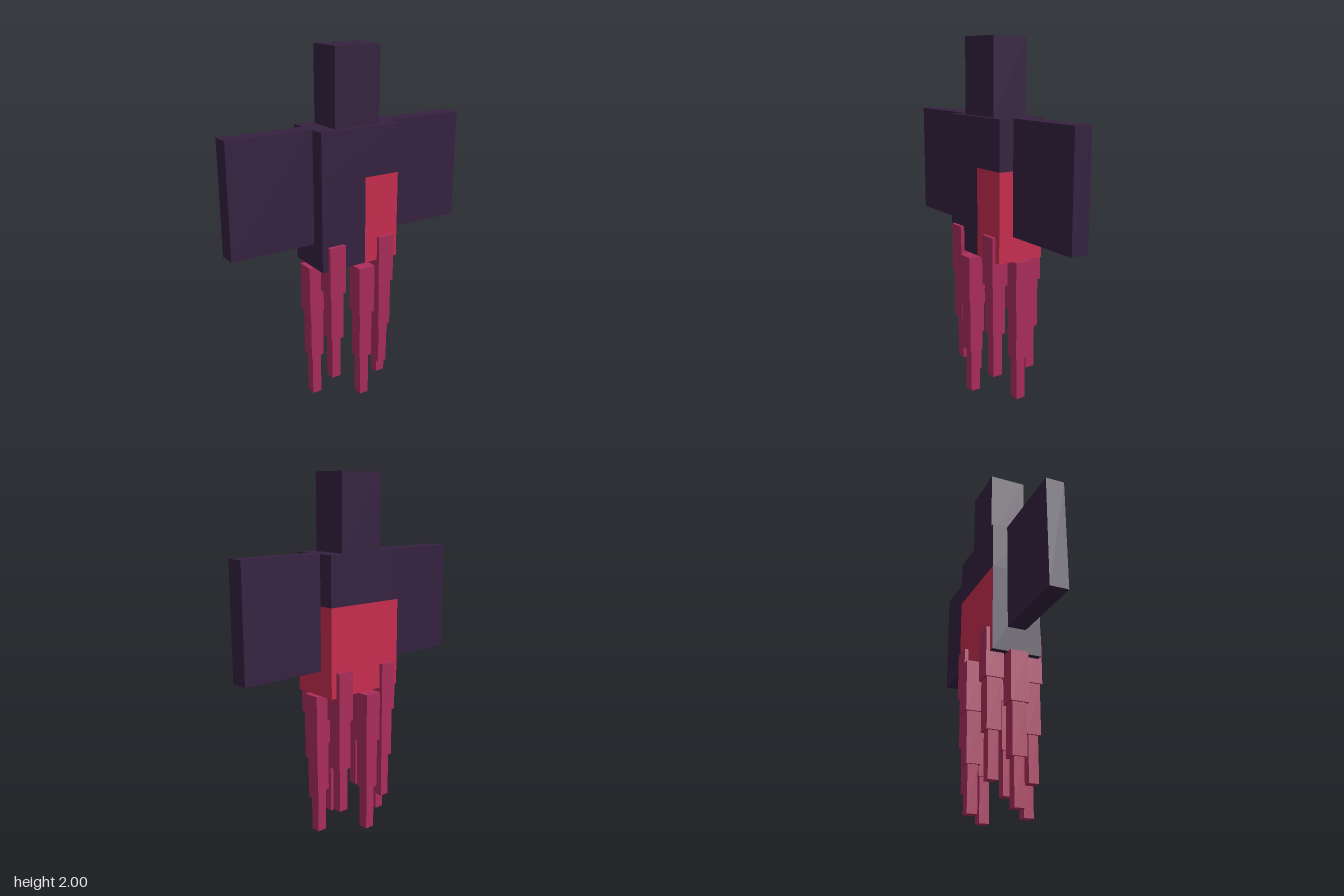
import * as THREE from 'three';

const material = (name, color) => {
  const m = new THREE.MeshStandardMaterial({ color });
  m.name = name;
  return m;
};

export function createModel() {
  const model = new THREE.Group();
  model.name = 'squid';
  const dark = material('dark purple', 0x352140);
  const red = material('crimson', 0xc92d50);
  const pink = material('magenta', 0xab2d5a);

  // Box spanning x0..x1 and y0..y1, with its depth centred on z
  const box = (name, mat, x0, x1, y0, y1, depth, z = 0, parent = model) => {
    const mesh = new THREE.Mesh(new THREE.BoxGeometry(x1 - x0, y1 - y0, depth), mat);
    mesh.position.set((x0 + x1) / 2, (y0 + y1) / 2, z);
    mesh.name = name;
    parent.add(mesh);
    return mesh;
  };

  // Head and upper body
  box('head', dark, -0.14, 0.14, 1.58, 2, 0.21);
  box('upperBody', dark, -0.246, 0.246, 1.305, 1.58, 0.28);

  // Lower body: red on the back, the left side and part of the front
  // (material order: +x, -x, +y, -y, +z, -z)
  box('lowerBodyRight', [dark, dark, dark, dark, dark, red], -0.246, 0.03, 0.81, 1.305, 0.28);
  box('lowerBodyLeft', [red, dark, dark, dark, red, red], 0.03, 0.246, 0.81, 1.305, 0.28);

  // Flat side fins
  box('leftFin', dark, 0.246, 0.735, 0.95, 1.58, 0.105);
  box('rightFin', dark, -0.735, -0.246, 0.95, 1.58, 0.105);

  // Tentacles: three stacked segments, each narrower than the one above
  const tentacle = (x, z, drop) => {
    const group = new THREE.Group();
    group.name = 'tentacle';
    group.position.set(x, drop, z);
    const levels = [0.81, 0.53, 0.25, 0];
    [0.1, 0.08, 0.056].forEach((w, i) =>
      box('tentacleSegment', pink, -w / 2, w / 2, levels[i + 1], levels[i], w, 0, group));
    model.add(group);
  };
  for (const s of [-1, 1]) {
    tentacle(s * 0.227, 0, 0);
    tentacle(0, s * 0.156, 0);
    for (const t of [-1, 1]) tentacle(s * 0.161, t * 0.111, 0.14);
  }
  return model;
}
